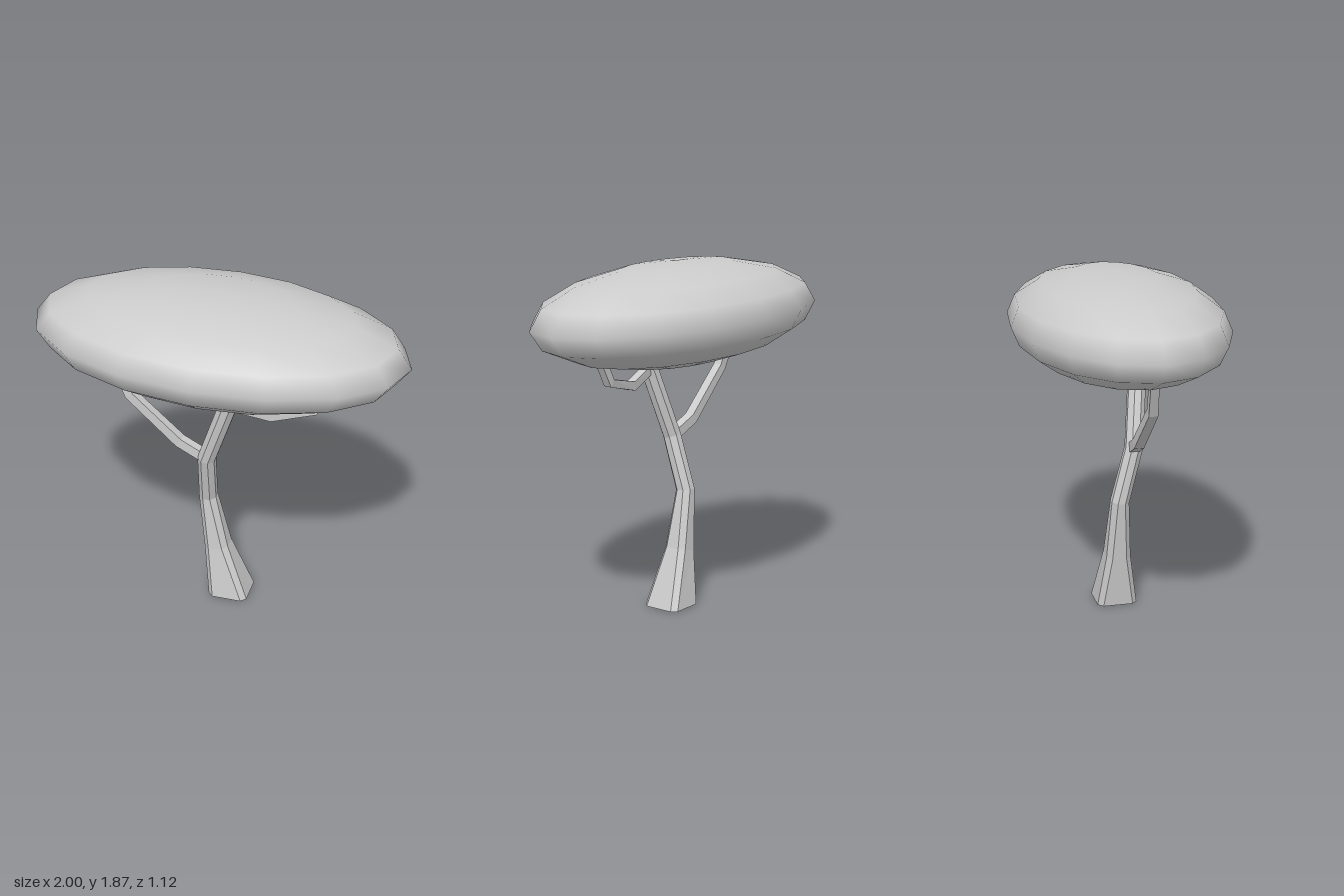
import * as THREE from 'three';

const material = new THREE.MeshStandardMaterial({ color: 0xcccccc, flatShading: true });

// Square section of half-width h, corners cut by bevel (0 = plain square)
function section(h, bevel) {
  if (!bevel) return [[h, -h], [h, h], [-h, h], [-h, -h]];
  const k = h - bevel;
  return [[h, -k], [h, k], [k, h], [-k, h], [-h, k], [-h, -k], [-k, -h], [k, -h]];
}

// Sweep a section along stops [x, y, z, halfWidth], closed at both ends
function limb(name, stops, bevel, firstDir) {
  const centres = stops.map(([x, y, z]) => new THREE.Vector3(x, y, z));
  const last = centres.length - 1;
  const dir = (i) => centres[i + 1].clone().sub(centres[i]).normalize();
  const rings = centres.map((c, i) => {
    const t = new THREE.Vector3();
    if (i === 0 && firstDir) t.copy(firstDir);
    else {
      if (i > 0) t.add(dir(i - 1));
      if (i < last) t.add(dir(i));
    }
    t.normalize();
    const v = new THREE.Vector3(0, 0, 1);
    v.addScaledVector(t, -t.z).normalize();
    const u = t.clone().cross(v);
    return section(stops[i][3], bevel).map(([a, b]) =>
      c.clone().addScaledVector(u, a).addScaledVector(v, -b));
  });

  const tris = [];
  const n = rings[0].length;
  for (let i = 0; i < last; i++) {
    for (let j = 0; j < n; j++) {
      const k = (j + 1) % n;
      const [a, b, c, d] = [rings[i][j], rings[i][k], rings[i + 1][k], rings[i + 1][j]];
      tris.push(a, b, c, a, c, d);
    }
  }
  for (let j = 1; j < n - 1; j++) {
    tris.push(rings[0][0], rings[0][j + 1], rings[0][j]);
    tris.push(rings[last][0], rings[last][j], rings[last][j + 1]);
  }
  const geometry = new THREE.BufferGeometry().setFromPoints(tris);
  geometry.computeVertexNormals();
  const mesh = new THREE.Mesh(geometry, material);
  mesh.name = name;
  return mesh;
}

export function createModel() {
  const tree = new THREE.Group();
  tree.name = 'tree';

  // Bent trunk, flared at the foot
  tree.add(limb('trunk', [
    [0.07, 0, 0, 0.11],
    [-0.008, 0.3, 0, 0.067],
    [-0.062, 0.62, 0.003, 0.048],
    [-0.047, 0.915, 0.083, 0.047],
    [0.13, 1.42, 0.15, 0.047],
  ], 0.028, new THREE.Vector3(0, 1, 0)));

  // Branches reaching up into the canopy
  tree.add(limb('rightBranch', [
    [-0.05, 0.915, 0.08, 0.027],
    [-0.2, 0.985, 0.07, 0.027],
    [-0.47, 1.235, 0.075, 0.025],
    [-0.56, 1.43, 0.06, 0.022],
  ], 0));
  tree.add(limb('leftBranch', [
    [0.09, 1.295, 0.13, 0.024],
    [0.3, 1.235, 0.08, 0.024],
    [0.52, 1.285, 0.045, 0.022],
    [0.6, 1.43, 0.04, 0.021],
  ], 0));

  // Smooth flattened canopy, dipping slightly to its left
  const canopy = new THREE.Mesh(
    new THREE.SphereGeometry(1, 16, 8),
    new THREE.MeshStandardMaterial({ color: 0xcccccc }),
  );
  canopy.name = 'canopy';
  canopy.scale.set(1, 0.27, 0.56);
  canopy.rotation.z = -0.025;
  canopy.position.y = 1.6;
  tree.add(canopy);

  return tree;
}
